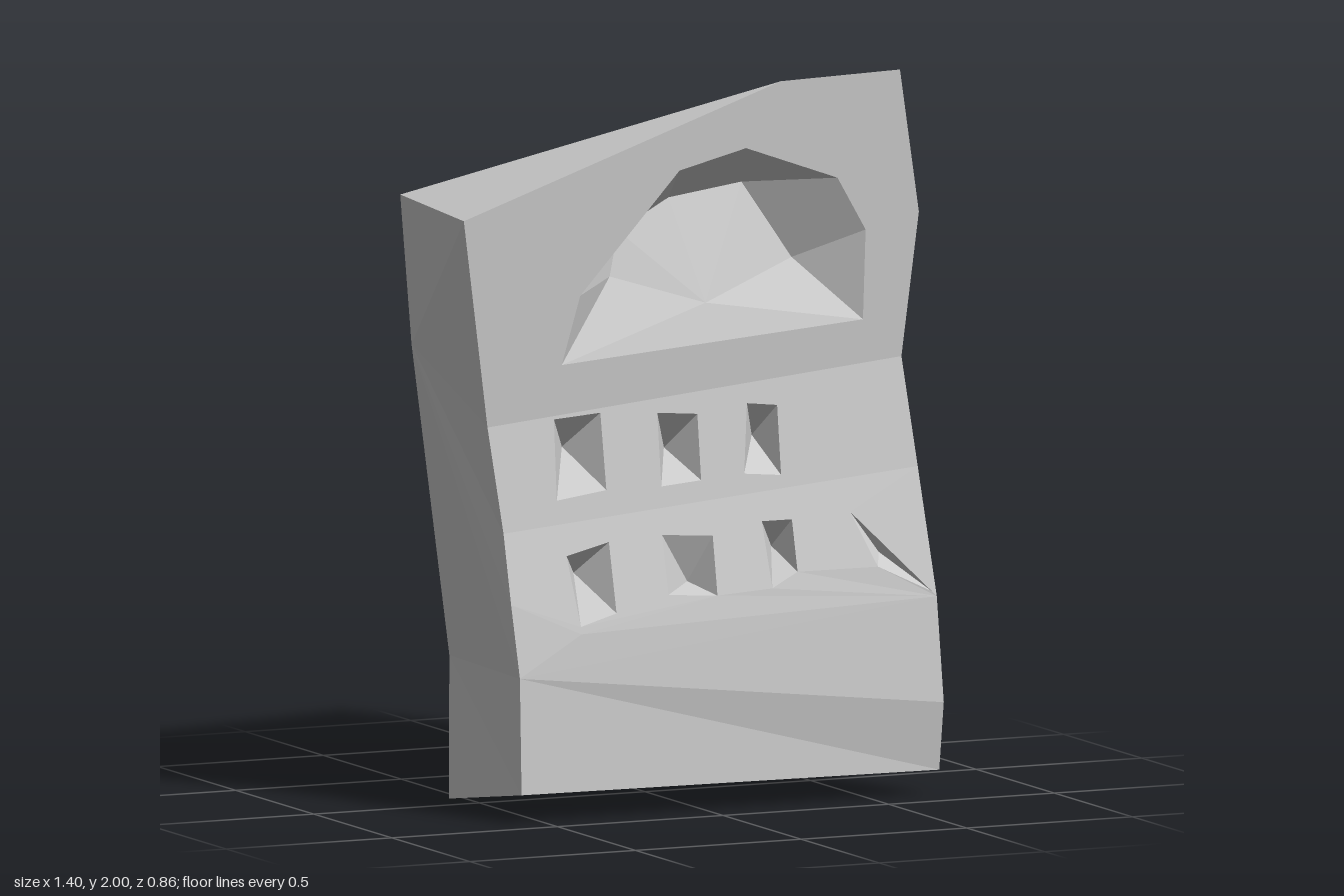
import * as THREE from 'three';

const material = new THREE.MeshStandardMaterial({ color: 0xcccccc, flatShading: true, side: THREE.DoubleSide });

// Depth of the front face: a bent profile that slants slightly with x
const profile = [[-0.1, 0.4], [0.02, 0.4], [0.2, 0.43], [0.55, 0.4], [0.84, 0.325], [1.14, 0.285], [1.95, 0.34], [2.2, 0.35]];
function front([x, y], depth = 0) {
  const s = y - 0.094 * x;
  const i = Math.max(1, profile.findIndex(p => p[0] >= s));
  const [s0, z0] = profile[i - 1], [s1, z1] = profile[i];
  return [x, y, z0 + (z1 - z0) * (s - s0) / (s1 - s0) - depth];
}

function mesh(name, triangles) {
  const geometry = new THREE.BufferGeometry();
  geometry.setAttribute('position', new THREE.Float32BufferAttribute(triangles.flat(2), 3));
  geometry.computeVertexNormals();
  const m = new THREE.Mesh(geometry, material);
  m.name = name;
  return m;
}

// Joins two edges that both run from top to bottom, a on the left and b on the right
function zip(a, b) {
  const out = [];
  let i = 0, j = 0;
  while (i < a.length - 1 || j < b.length - 1) {
    const stepA = j === b.length - 1 || (i < a.length - 1 && a[i + 1][1] >= b[j + 1][1]);
    if (stepA) out.push([a[i], a[++i], b[j]]);
    else out.push([a[i], b[j + 1], b[j++]]);
  }
  return out;
}

// Fills an outline on the front face, leaving the holes open
function panel(outline, holes = []) {
  const v = pts => pts.map(p => new THREE.Vector2(...p));
  const all = [outline, ...holes].flat();
  return THREE.ShapeUtils.triangulateShape(v(outline), holes.map(v)).map(([a, b, c]) => {
    const [p, q, r] = [all[a], all[b], all[c]];
    const ccw = (q[0] - p[0]) * (r[1] - p[1]) - (q[1] - p[1]) * (r[0] - p[0]) > 0;
    return (ccw ? [p, q, r] : [p, r, q]).map(t => front(t));
  });
}

// Closes a clockwise rim to a single point
const fan = (rim, apex) => rim.map((p, i) => [rim[(i + 1) % rim.length], p, apex]);

export function createModel() {
  const group = new THREE.Group();
  group.name = 'carvedStone';

  // Corner edges, top to bottom
  const leftFront = [[-0.7, 1.66], [-0.61, 1.08], [-0.58, 0.79], [-0.58, 0.6], [-0.57, 0.4], [-0.57, 0.08]];
  const rightFront = [[0.61, 2], [0.68, 1.6], [0.64, 1.2], [0.67, 0.9], [0.69, 0.55], [0.7, 0.26], [0.7, 0.07]];
  const leftBack = [[-0.64, 1.66, -0.21], [-0.62, 1.25, -0.18], [-0.52, 0.39, -0.15], [-0.54, 0, -0.11]];
  const rightBack = [[0.43, 1.7, -0.43], [0.5, 1.4, -0.385], [0.495, 0.98, -0.36], [0.52, 0.09, -0.335]];
  const lf = leftFront.map(p => front(p)), rf = rightFront.map(p => front(p));
  const peak = [0.25, 1.99], peak3 = front(peak);
  const footMid = [0.61, 0.04, 0.09];

  // Arched hollow: outer rim and deeper inner rim, both left to right
  const archRim = [[-0.39, 1.24], [-0.34, 1.43], [-0.05, 1.76], [0.15, 1.81], [0.43, 1.71], [0.52, 1.56], [0.52, 1.31]];
  const archInner = [[-0.39, 1.24, 0], [-0.2, 1.46, 0.11], [-0.16, 1.58, 0.15], [0, 1.66, 0.17],
    [0.22, 1.69, 0.17], [0.35, 1.48, 0.11], [0.52, 1.31, 0]].map(([x, y, d]) => front([x, y], d));

  // Chiselled pits: clockwise rims, then the deepest point and depth
  const upperPits = [
    { rim: [[-0.41, 1.09], [-0.27, 1.1], [-0.265, 0.89], [-0.415, 0.87]], tip: [-0.345, 1.0], depth: 0.1 },
    { rim: [[-0.1, 1.09], [0.02, 1.08], [0.02, 0.9], [-0.1, 0.89]], tip: [-0.04, 0.98], depth: 0.1 },
    { rim: [[0.17, 1.1], [0.26, 1.09], [0.26, 0.9], [0.15, 0.91]], tip: [0.22, 1.0], depth: 0.09 },
  ];
  const lowerPits = [
    { rim: [[-0.4, 0.72], [-0.27, 0.75], [-0.27, 0.56], [-0.38, 0.53]], tip: [-0.34, 0.66], depth: 0.1 },
    { rim: [[-0.11, 0.76], [0.04, 0.75], [0.035, 0.59], [-0.11, 0.6]], tip: [-0.01, 0.62], depth: 0.09 },
    { rim: [[0.19, 0.78], [0.28, 0.78], [0.28, 0.64], [0.2, 0.6]], tip: [0.25, 0.7], depth: 0.09 },
    { rim: [[0.455, 0.79], [0.675, 0.565], [0.52, 0.64]], tip: [0.54, 0.675], depth: 0.03 },
  ];
  const rims = pits => pits.map(p => p.rim);

  // Front face in bands between the bends
  const [l0, l1, l2, l3, l4, l5] = leftFront;
  const [r0, r1, r2, r3, r4, r5, r6] = rightFront;
  const bend = [-0.38, 0.51];
  group.add(mesh('upperFront', panel([l0, l1, r2, r1, r0, peak], [archRim])));
  group.add(mesh('lowerFront', [
    ...panel([l1, l2, r3, r2], rims(upperPits)),
    ...panel([l2, l3, bend, r4, r3], rims(lowerPits)),
    ...panel([l3, l4, r5, r4, bend]),
    ...panel([l4, l5, r6, r5]),
  ]));

  // Hollow walls and sloping floor
  const rim3 = archRim.map(p => front(p));
  const walls = [];
  for (let i = 0; i < rim3.length - 1; i++) {
    if (i > 0) walls.push([rim3[i], archInner[i], archInner[i + 1]]);
    if (i < rim3.length - 2) walls.push([rim3[i], archInner[i + 1], rim3[i + 1]]);
    else walls[walls.length - 1] = [rim3[i], archInner[i], rim3[i + 1]];
  }
  group.add(mesh('archWall', walls));
  group.add(mesh('archFloor', fan(archInner, front([0.06, 1.38], 0.04))));

  // Pits
  [...upperPits, ...lowerPits].forEach(({ rim, tip, depth }, i) =>
    group.add(mesh(`pit${i + 1}`, fan(rim.map(p => front(p)), front(tip, depth)))));

  // Sides, back, sloping top and base
  const end = list => list[list.length - 1];
  group.add(mesh('leftwardSide', zip(leftBack, lf)));
  group.add(mesh('rightwardSide', [...zip(rf, rightBack), [end(rf), footMid, end(rightBack)]]));
  group.add(mesh('back', zip(rightBack, leftBack)));
  group.add(mesh('top', [[leftBack[0], lf[0], peak3], [leftBack[0], peak3, rightBack[0]], [rightBack[0], peak3, rf[0]]]));
  group.add(mesh('base', [
    [end(leftBack), end(rightBack), footMid],
    [end(leftBack), footMid, end(rf)],
    [end(leftBack), end(rf), end(lf)],
  ]));
  return group;
}
